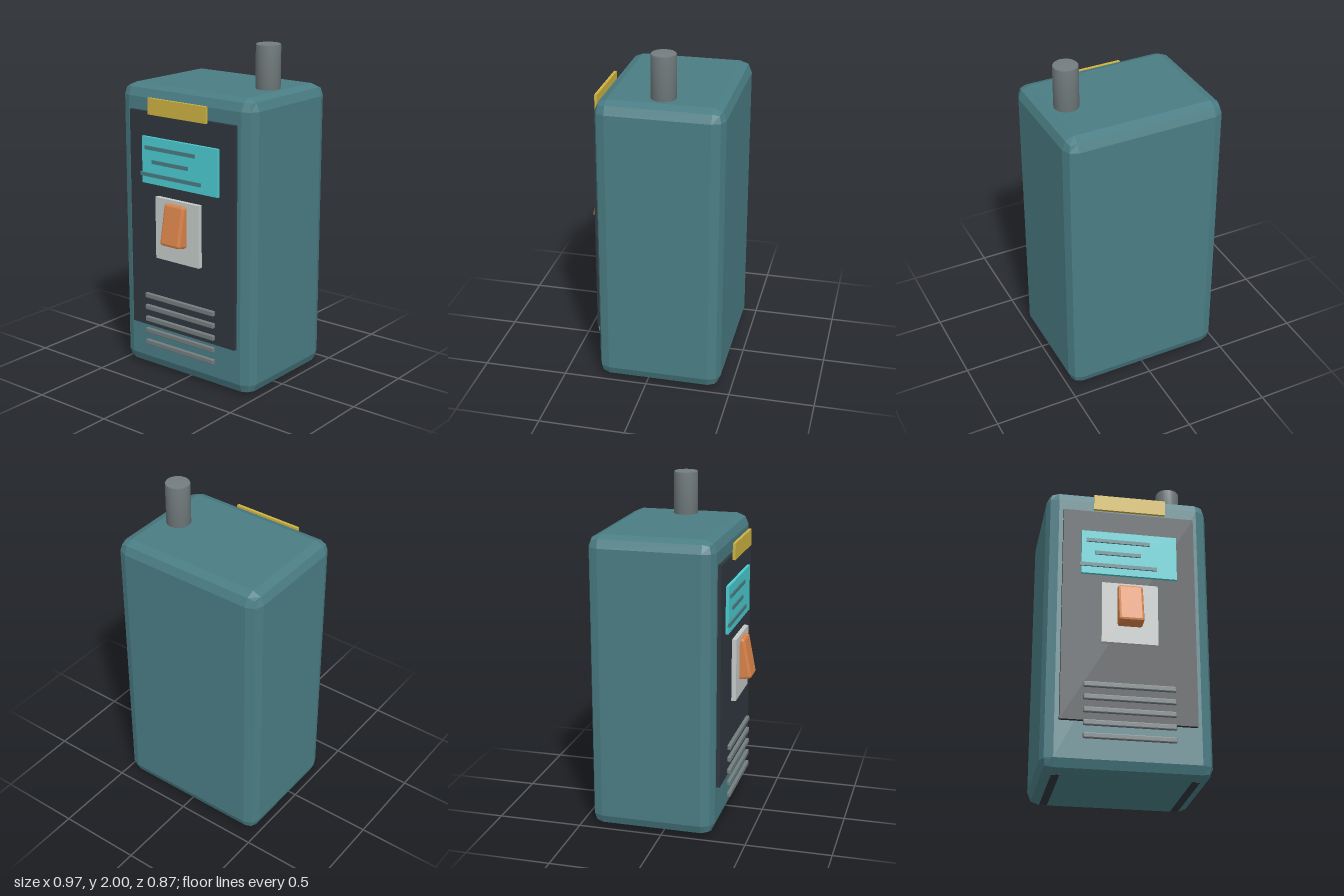
import * as THREE from 'three';
import { RoundedBoxGeometry } from 'three/addons/geometries/RoundedBoxGeometry.js';

function material(name, color) {
  const m = new THREE.MeshStandardMaterial({ color });
  m.name = name;
  return m;
}

export function createModel() {
  const model = new THREE.Group();
  model.name = 'handheldDevice';

  const teal = material('teal casing', 0x4a7d84);
  const charcoal = material('charcoal panel', 0x2f373e);
  const cyan = material('cyan screen', 0x4accd2);
  const yellow = material('yellow label', 0xcfb342);
  const orange = material('orange rocker', 0xd9834a);
  const lightGray = material('light gray plate', 0xc5cac8);
  const gray = material('gray metal', 0x737d7f);

  const add = (name, geometry, mat, x, y, z, parent = model) => {
    const mesh = new THREE.Mesh(geometry, mat);
    mesh.name = name;
    mesh.position.set(x, y, z);
    parent.add(mesh);
    return mesh;
  };

  // Box given by its limits on each axis
  const box = (name, mat, [x0, x1], [y0, y1], [z0, z1], parent) =>
    add(name, new THREE.BoxGeometry(x1 - x0, y1 - y0, z1 - z0), mat,
      (x0 + x1) / 2, (y0 + y1) / 2, (z0 + z1) / 2, parent);

  // Box with faceted, two-step bevels
  const bevelBox = (w, h, d, r) => {
    const g = new RoundedBoxGeometry(w, h, d, 1, r);
    g.computeVertexNormals();
    return g;
  };

  // Casing and the strips under it
  add('casing', bevelBox(0.966, 1.743, 0.735, 0.07), teal, 0, 0.8735, -0.0675);
  for (const s of [-1, 1]) {
    add(s > 0 ? 'leftFootStrip' : 'rightFootStrip', new THREE.BoxGeometry(0.045, 0.01, 0.58),
      charcoal, s * 0.39, 0.005, -0.0675);
  }

  // Front panel, label and screen
  box('frontPanel', charcoal, [-0.388, 0.388], [0.287, 1.6], [0.29, 0.322]);
  box('label', yellow, [-0.214, 0.211], [1.594, 1.69], [0.343, 0.36]);
  box('screen', cyan, [-0.281, 0.279], [1.18, 1.457], [0.318, 0.34]);

  // Lines on the screen: left end, right end, height
  const screenLines = new THREE.Group();
  screenLines.name = 'screenLines';
  model.add(screenLines);
  for (const [x0, x1, y] of [[-0.255, 0.119, 1.394], [-0.2, 0.067, 1.314], [-0.291, 0.16, 1.234]]) {
    box('screenLine', teal, [x0, x1], [y - 0.011, y + 0.011], [0.337, 0.348], screenLines);
  }

  // Tilted rocker switch on its plate
  box('switchPlate', lightGray, [-0.164, 0.16], [0.744, 1.116], [0.334, 0.361]);
  const rocker = add('rockerSwitch', bevelBox(0.146, 0.245, 0.08, 0.014), orange, -0.003, 0.971, 0.371);
  rocker.rotation.x = -0.19;

  // Speaker slats
  const slats = new THREE.Group();
  slats.name = 'speakerSlats';
  model.add(slats);
  for (let i = 0; i < 5; i++) {
    add('speakerSlat', bevelBox(0.52, 0.031, 0.022, 0.005), gray, -0.001, 0.19 + i * 0.0745, 0.346, slats);
  }

  // Antenna with a slightly bevelled tip
  const profile = [[0, 0], [0.072, 0], [0.072, 0.294], [0.068, 0.3], [0, 0.3]]
    .map(([x, y]) => new THREE.Vector2(x, y));
  add('antenna', new THREE.LatheGeometry(profile, 18), gray, 0.32, 1.7, -0.068);

  return model;
}
